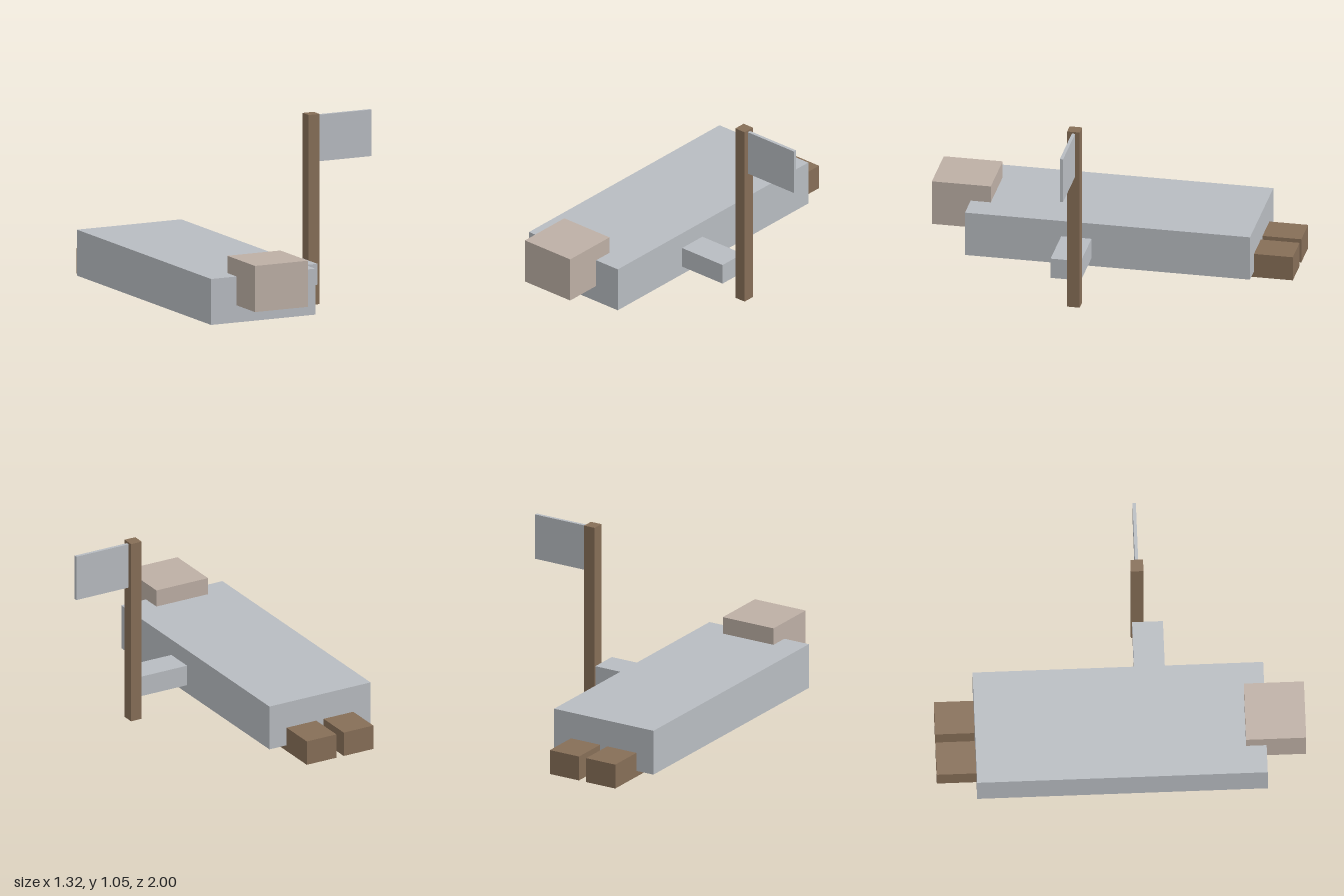
import * as THREE from 'three';

const material = (name, color) => {
  const m = new THREE.MeshStandardMaterial({ color });
  m.name = name;
  return m;
};

export function createModel() {
  const model = new THREE.Group();
  model.name = 'lyingFigureWithFlag';
  const grey = material('paleGrey', 0xb8bcc1);
  const brown = material('woodBrown', 0x866e57);
  const tan = material('dustyTan', 0xbdafa5);

  // Box spanning two values on each axis
  const addBox = (name, mat, [x0, x1], [y0, y1], [z0, z1]) => {
    const mesh = new THREE.Mesh(new THREE.BoxGeometry(x1 - x0, y1 - y0, z1 - z0), mat);
    mesh.position.set((x0 + x1) / 2, (y0 + y1) / 2, (z0 + z1) / 2);
    mesh.name = name;
    model.add(mesh);
  };

  // Lying body, with the head at the front
  addBox('body', grey, [-0.66, -0.025], [0.084, 0.337], [-0.786, 0.786]);
  addBox('head', tan, [-0.504, -0.18], [0.178, 0.432], [0.675, 1]);

  // Feet, mirrored about the body's centre line
  for (const side of [-1, 1]) {
    const cx = -0.342 + side * 0.116;
    addBox(side < 0 ? 'rightFoot' : 'leftFoot', brown, [cx - 0.093, cx + 0.093], [0.05, 0.188], [-1, -0.675]);
  }

  // Outstretched arm holding the flag
  addBox('arm', grey, [-0.025, 0.264], [0.131, 0.246], [0.088, 0.255]);
  addBox('flagPole', brown, [0.264, 0.331], [0, 1.047], [0.081, 0.15]);
  addBox('flag', grey, [0.331, 0.66], [0.781, 1.037], [0.106, 0.124]);

  return model;
}
